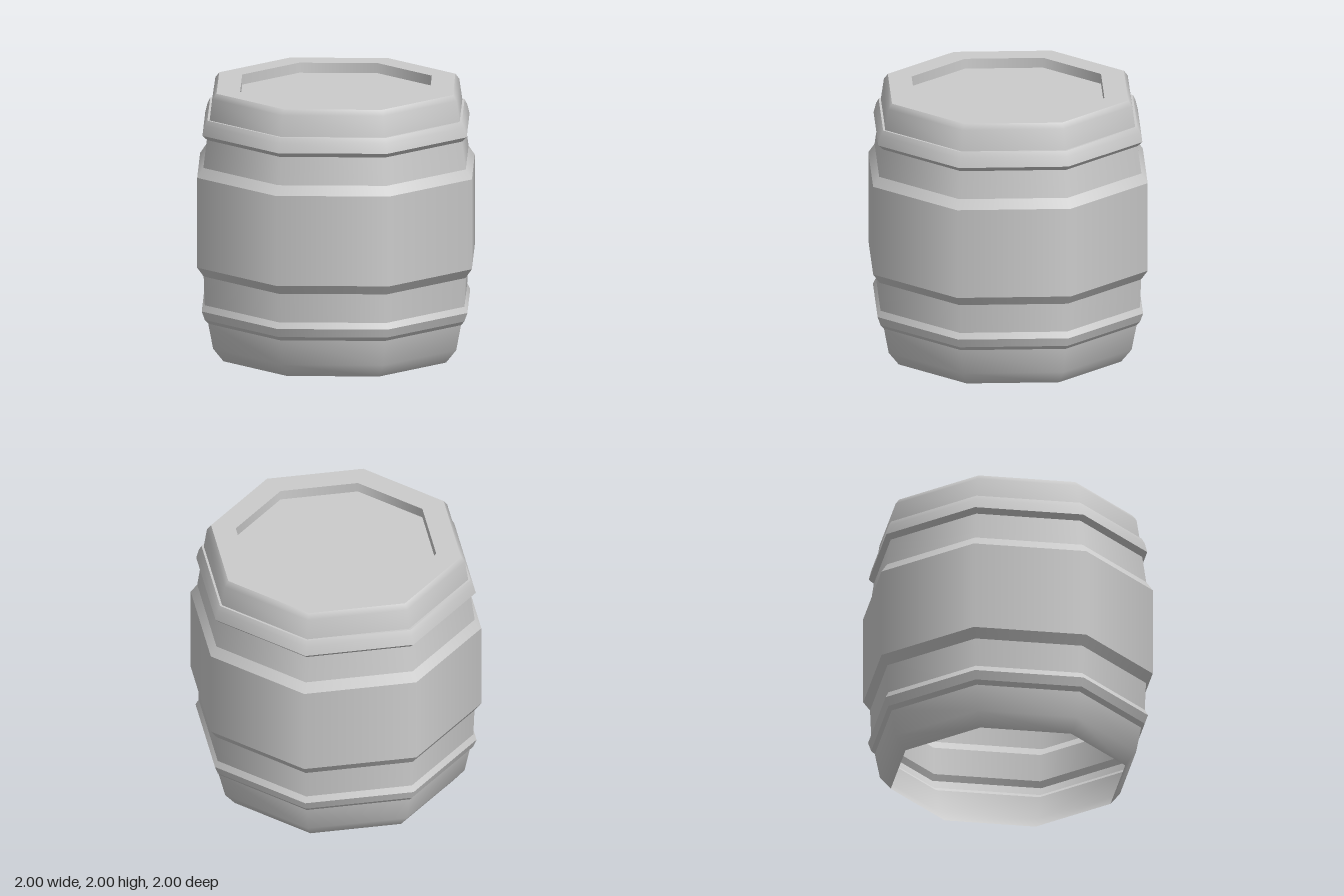
import * as THREE from 'three';

const SIDES = 8;
const CORNER = 1 / Math.cos(Math.PI / SIDES); // flat-side distance to corner radius

export function createModel() {
  const barrel = new THREE.Group();
  barrel.name = 'barrel';
  const material = new THREE.MeshStandardMaterial({ color: 0xcccccc, side: THREE.DoubleSide });

  // One eight-sided ring, smooth along its own profile and around the barrel
  function ring(parent, name, profile) {
    const points = profile.map(([r, y]) => new THREE.Vector2(r * CORNER, y));
    const mesh = new THREE.Mesh(new THREE.LatheGeometry(points, SIDES, Math.PI / SIDES), material);
    mesh.name = name;
    parent.add(mesh);
  }

  // A part made of straight bands with a sharp edge between each two
  function bands(name, profile) {
    const part = new THREE.Group();
    part.name = name;
    for (let i = 0; i < profile.length - 1; i++) {
      ring(part, name + 'Band' + (i + 1), [profile[i], profile[i + 1]]);
    }
    barrel.add(part);
  }

  // Open foot of the barrel
  ring(barrel, 'foot', [[0.81, 0], [0.885, 0.1], [0.92, 0.29]]);

  // Lower hoop
  bands('lowerHoop', [[0.92, 0.29], [0.945, 0.32], [0.967, 0.385], [0.945, 0.43]]);

  // Staves with the wide belt in the middle
  bands('staves', [[0.945, 0.43], [0.953, 0.645], [1, 0.715], [1, 1.385], [0.955, 1.455], [0.927, 1.66]]);

  // Upper hoop
  bands('upperHoop', [[0.927, 1.66], [0.962, 1.695]]);
  ring(barrel, 'upperHoopFace', [[0.962, 1.695], [0.945, 1.765], [0.926, 1.805]]);
  ring(barrel, 'upperHoopEdge', [[0.926, 1.805], [0.91, 1.805]]);

  // Rounded shoulder under the rim
  ring(barrel, 'shoulder', [[0.91, 1.805], [0.888, 1.96], [0.86, 2]]);

  // Flat rim and sunken lid
  bands('lid', [[0.86, 2], [0.69, 2], [0.69, 1.925], [0, 1.925]]);

  return barrel;
}
